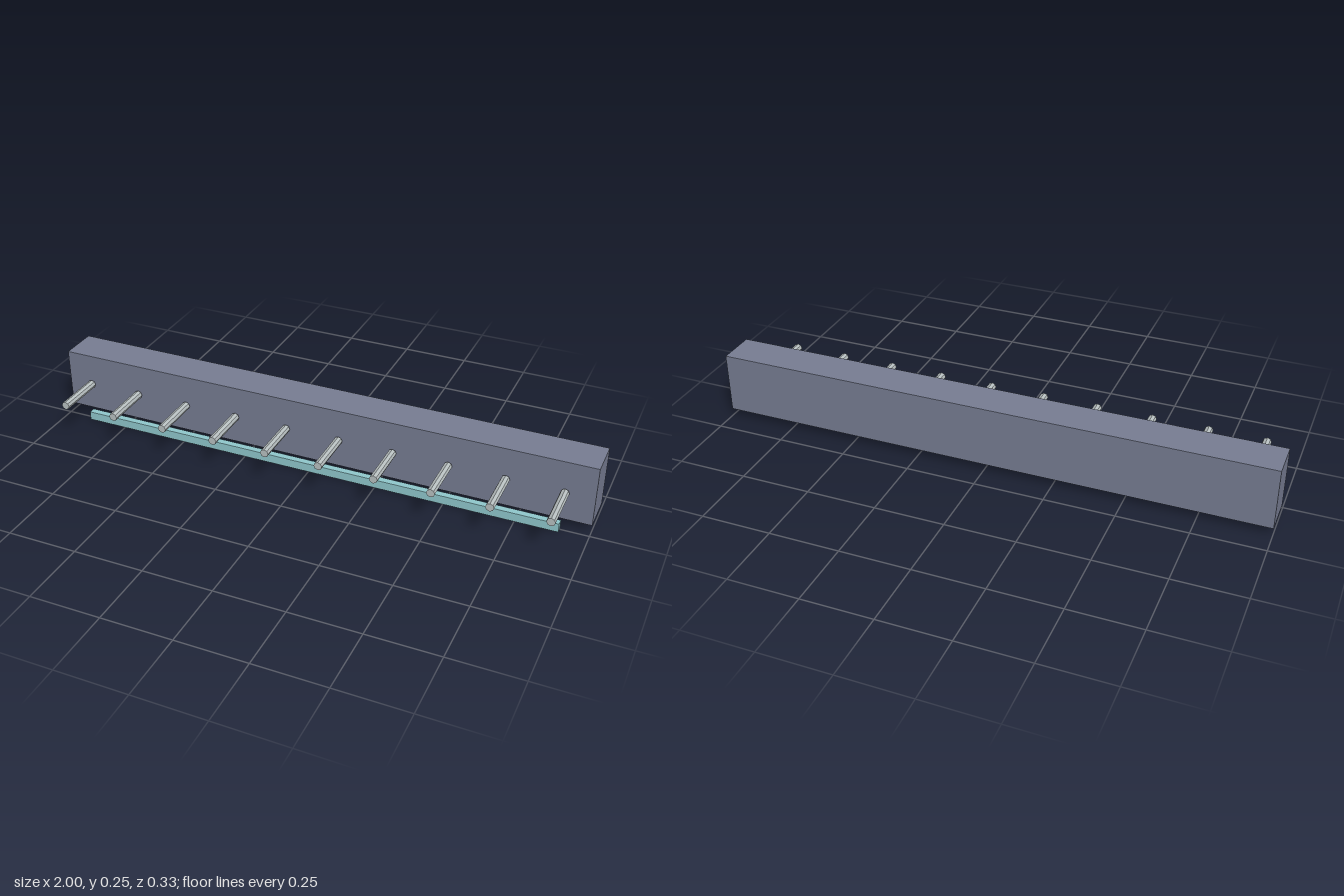
import * as THREE from 'three';

const mat = (name, color, flatShading = false) => {
  const m = new THREE.MeshStandardMaterial({ color, flatShading });
  m.name = name;
  return m;
};

export function createModel() {
  const slate = mat('slate', 0x777d92);
  const paleTeal = mat('pale teal', 0x90c8cd);
  const lightGrey = mat('light grey', 0xb9c1c2, true);

  const group = new THREE.Group();
  const add = (name, geometry, material, x, y, z) => {
    const mesh = new THREE.Mesh(geometry, material);
    mesh.name = name;
    mesh.position.set(x, y, z);
    group.add(mesh);
  };

  // Long beam at the back
  add('beam', new THREE.BoxGeometry(2, 0.22, 0.14), slate, 0, 0.137, -0.095);

  // Thin strip below the pegs
  add('lowerStrip', new THREE.BoxGeometry(1.8, 0.032, 0.025), paleTeal, 0, 0.016, 0.0055);

  // Row of eight-sided pegs pointing forward
  const peg = new THREE.CylinderGeometry(0.015, 0.015, 0.18, 8).rotateX(Math.PI / 2);
  for (let i = 0; i < 10; i++) {
    add(`peg${i + 1}`, peg, lightGrey, -0.9 + i * 0.2, 0.137, 0.076);
  }
  return group;
}
